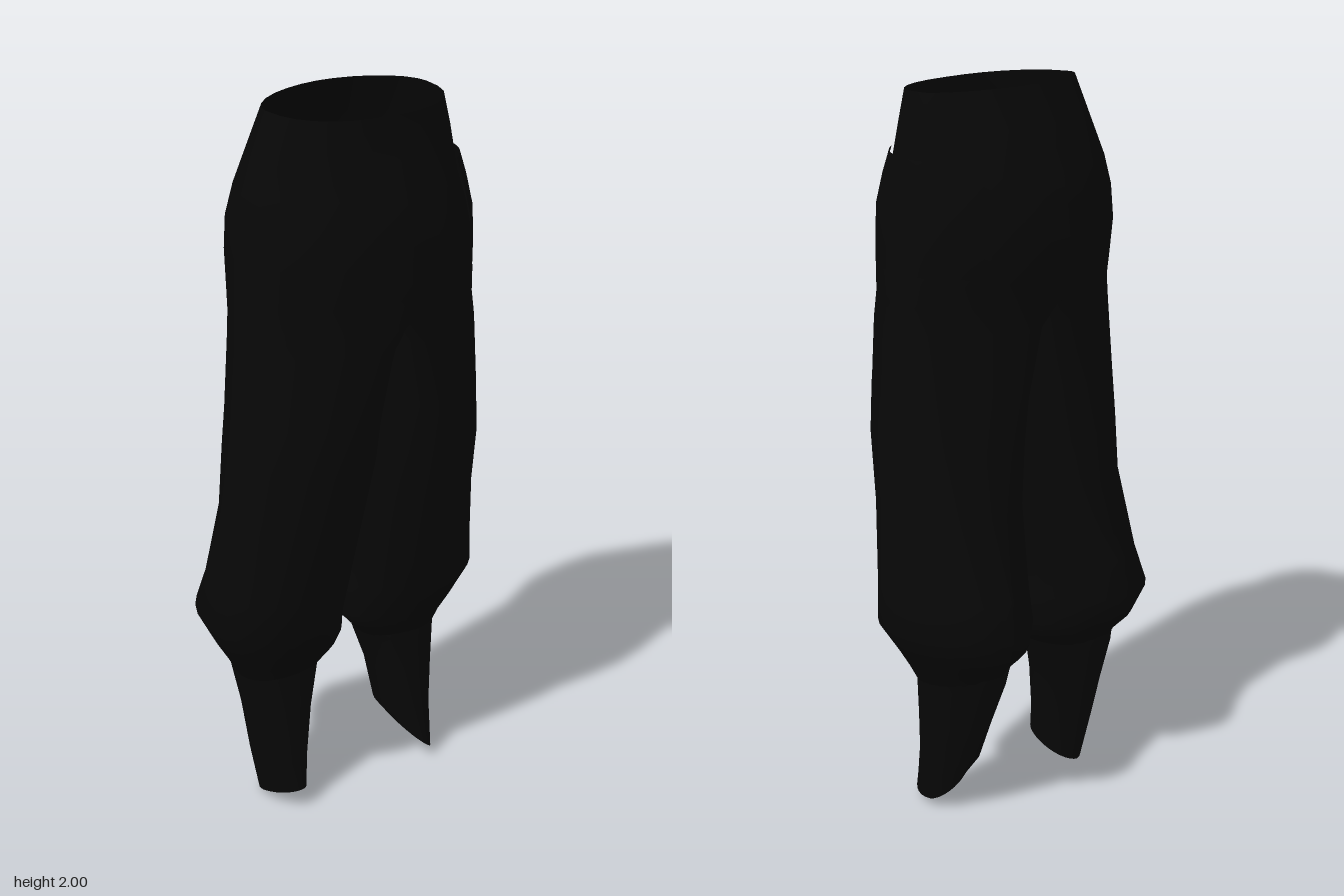
import * as THREE from 'three';

const SEG = 28; // points round one trouser leg

// One cross-section point. Row: [y, innerX, midX, outerX, backZ, frontZ, tiltZ, tiltX]
function ringPoint(row, a, side) {
  const [y, xi, cx, xo, zb, zf, tiltZ = 0, tiltX = 0] = row;
  // fuller front on hips and thighs, rounder below, slightly pinched back
  const power = Math.sin(a) < 0 ? 1.08 : y > 1 ? 0.86 : 0.97;
  const soft = (v) => Math.sign(v) * Math.pow(Math.abs(v), power);
  const c = soft(Math.cos(a)), s = soft(Math.sin(a));
  const zc = (zb + zf) * 0.2; // the widest point stays near the side seam
  const x = cx + c * (c > 0 ? xo - cx : cx - xi);
  return [side * x, y + tiltZ * s + tiltX * c, zc + s * (s > 0 ? zf - zc : zc - zb)];
}

// Loft through rows; the inner half is left open above openAbove, where both legs join
function loft(name, rows, side, material, from = -Math.PI / 2, to = Math.PI * 1.5, openAbove = 9) {
  const pos = [], index = [];
  for (const row of rows)
    for (let i = 0; i <= SEG; i++) pos.push(...ringPoint(row, from + (to - from) * i / SEG, side));
  for (let r = 0; r < rows.length - 1; r++)
    for (let i = 0; i < SEG; i++) {
      if (rows[r][0] > openAbove && i >= SEG / 2) continue;
      const a = r * (SEG + 1) + i, b = a + 1, c = a + SEG + 1, d = c + 1;
      if (side > 0) index.push(a, b, c, b, d, c);
      else index.push(a, c, b, b, c, d);
    }
  const g = new THREE.BufferGeometry();
  g.setAttribute('position', new THREE.Float32BufferAttribute(pos, 3));
  g.setIndex(index);
  g.computeVertexNormals();
  const mesh = new THREE.Mesh(g, material);
  mesh.name = name;
  return mesh;
}

export function createModel() {
  const group = new THREE.Group();
  group.name = 'trousers';
  const cloth = new THREE.MeshStandardMaterial({ color: 0x070707, side: THREE.DoubleSide });
  cloth.name = 'black cloth';

  // Baggy halves from the waist down to the gathered knee
  const rightHalf = [
    [1.99, 0, 0, 0.26, -0.12, 0.215, -0.01],
    [1.9, 0, 0, 0.29, -0.165, 0.22],
    [1.79, 0, 0, 0.325, -0.222, 0.25],
    [1.71, 0, 0, 0.35, -0.237, 0.275],
    [1.62, 0, 0, 0.352, -0.25, 0.282],
    [1.52, 0, 0, 0.355, -0.23, 0.28],
    [1.46, 0, 0, 0.358, -0.215, 0.277],
    [1.39, 0, 0.06, 0.36, -0.202, 0.273],
    [1.2, 0.004, 0.13, 0.367, -0.2, 0.265],
    [1.07, 0.006, 0.16, 0.375, -0.2, 0.255],
    [0.9, 0.01, 0.18, 0.385, -0.2, 0.222],
    [0.68, 0.025, 0.21, 0.412, -0.25, 0.175],
    [0.58, 0.03, 0.23, 0.43, -0.283, 0.15],
    [0.5, 0.02, 0.22, 0.388, -0.25, 0.115],
    [0.45, 0.035, 0.22, 0.36, -0.2, 0.085],
    [0.41, 0.09, 0.22, 0.34, -0.175, 0.065]
  ];
  const leftHalf = [
    [1.99, 0, 0, 0.25, -0.12, 0.215, -0.01],
    [1.9, 0, 0, 0.277, -0.165, 0.22],
    [1.79, 0, 0, 0.29, -0.222, 0.25],
    [1.71, 0, 0, 0.31, -0.237, 0.275],
    [1.62, 0, 0, 0.333, -0.25, 0.282],
    [1.52, 0, 0, 0.34, -0.23, 0.28],
    [1.46, 0, 0, 0.341, -0.215, 0.277],
    [1.39, 0, 0.06, 0.342, -0.202, 0.273],
    [1.2, -0.002, 0.13, 0.348, -0.2, 0.265],
    [1.07, 0, 0.16, 0.355, -0.2, 0.255],
    [0.9, 0.005, 0.18, 0.375, -0.2, 0.222],
    [0.68, 0.015, 0.21, 0.41, -0.25, 0.17],
    [0.59, 0.015, 0.23, 0.43, -0.28, 0.145],
    [0.5, 0, 0.21, 0.37, -0.24, 0.11],
    [0.45, 0.04, 0.21, 0.34, -0.19, 0.08],
    [0.41, 0.075, 0.21, 0.318, -0.17, 0.065]
  ];
  // Tapered shins ending in slanted hems
  const rightShin = [
    [0.44, 0.09, 0.22, 0.34, -0.19, 0.065],
    [0.4, 0.1, 0.22, 0.338, -0.185, 0.068],
    [0.28, 0.135, 0.22, 0.315, -0.155, 0.075],
    [0.14, 0.16, 0.23, 0.302, -0.115, 0.085],
    [0.03, 0.18, 0.23, 0.285, -0.08, 0.1, 0.03]
  ];
  const leftShin = [
    [0.44, 0.06, 0.2, 0.325, -0.19, 0.06],
    [0.4, 0.08, 0.2, 0.316, -0.185, 0.068],
    [0.28, 0.12, 0.205, 0.3, -0.145, 0.075],
    [0.16, 0.131, 0.21, 0.284, -0.1, 0.085],
    [0.07, 0.16, 0.215, 0.268, -0.06, 0.11, -0.025, -0.045]
  ];
  // Hip panel standing slightly away from the left side
  const hipPanel = [
    [1.83, 0, 0, 0.303, -0.207, 0.242],
    [1.77, 0, 0, 0.32, -0.23, 0.26],
    [1.69, 0, 0, 0.335, -0.242, 0.28],
    [1.6, 0, 0, 0.338, -0.251, 0.283],
    [1.54, 0, 0, 0.34, -0.234, 0.28]
  ];

  group.add(
    loft('rightTrouserHalf', rightHalf, -1, cloth, -Math.PI / 2, Math.PI * 1.5, 1.47),
    loft('leftTrouserHalf', leftHalf, 1, cloth, -Math.PI / 2, Math.PI * 1.5, 1.47),
    loft('rightShin', rightShin, -1, cloth),
    loft('leftShin', leftShin, 1, cloth),
    loft('leftHipPanel', hipPanel, 1, cloth, -0.85, 0.85)
  );
  return group;
}
